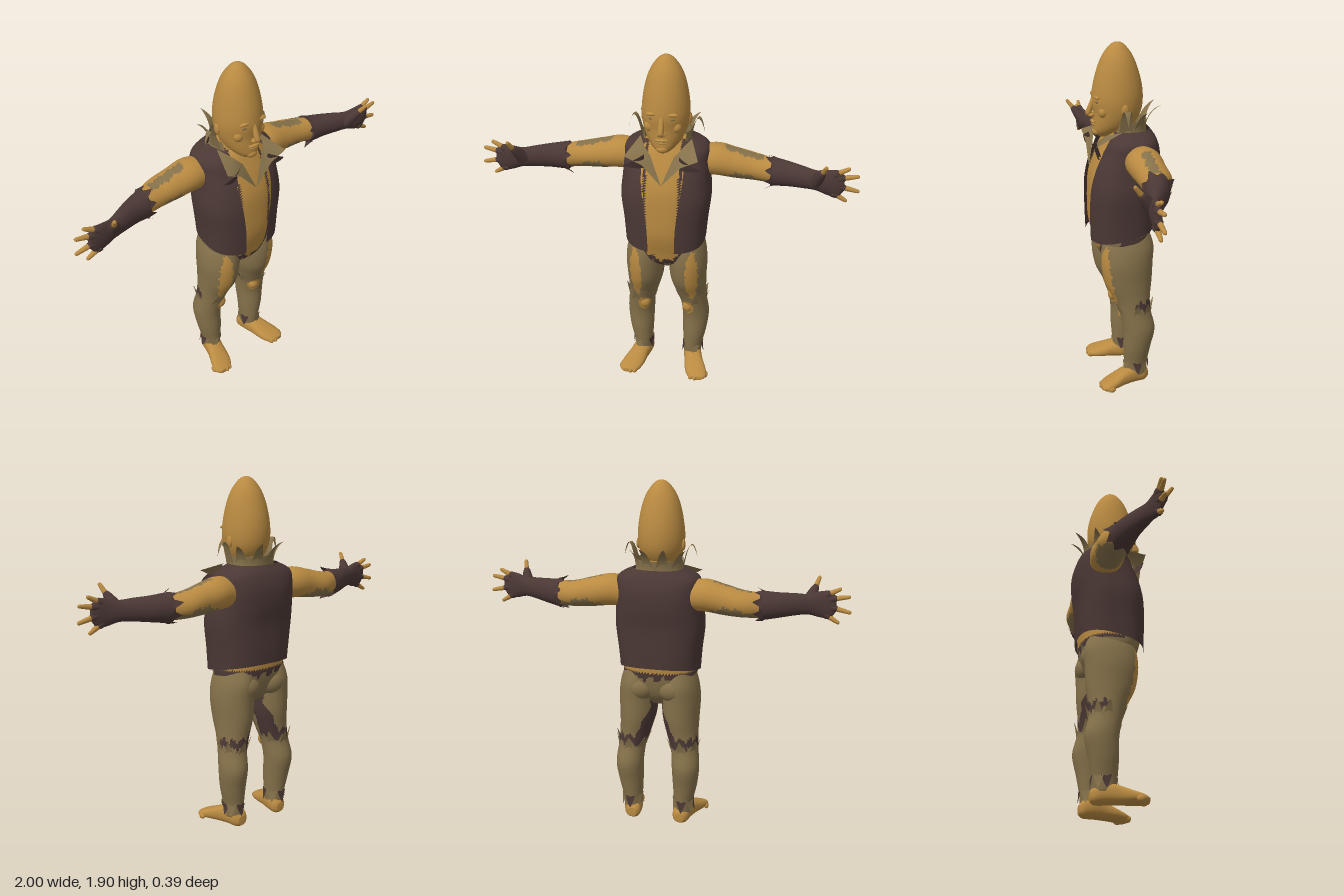
import * as THREE from 'three';

const GOLD = 0, OLIVE = 1, BROWN = 2;

// Uniform Catmull-Rom value through column c of a table of sections
function sample(rows, s, c) {
  const n = rows.length - 1, k = Math.min(Math.floor(s), n - 1), t = s - k;
  const [p0, p1, p2, p3] = [-1, 0, 1, 2].map(o => rows[Math.max(0, Math.min(n, k + o))][c] || 0);
  return p1 + 0.5 * t * (p2 - p0 + t * (2 * p0 - 5 * p1 + 4 * p2 - p3 + t * (3 * (p1 - p2) + p3 - p0)));
}

// Skin over sections [along, centreU, centreV, radiusU, radiusV, gapAngle]
// axis y: U = x, V = z    axis x: U = z, V = y    axis z: U = y, V = x
function loft(rows, { axis = 'y', N = 48, steps = 8, power = 1, open = false, paint = () => GOLD, warp } = {}) {
  const M = (rows.length - 1) * steps, P = [], cols = open ? N + 1 : N;
  const place = (t, u, v) => axis === 'y' ? [u, t, v] : axis === 'x' ? [t, v, u] : [v, u, t];
  const soft = v => Math.sign(v) * Math.abs(v) ** power;
  const add = p => { const v = new THREE.Vector3(...p); if (warp) warp(v); return P.push(v) - 1; };
  for (let i = 0; i <= M; i++) {
    const [t, cu, cv, a, b, g] = [0, 1, 2, 3, 4, 5].map(c => sample(rows, i / steps, c));
    for (let j = 0; j < cols; j++) {
      const th = g + (2 * Math.PI - 2 * g) * j / N;
      add(place(t, cu + a * soft(Math.sin(th)), cv + b * soft(Math.cos(th))));
    }
  }
  const lists = [[], [], []];
  const face = (a, b, c) => {
    const m = P[a].clone().add(P[b]).add(P[c]).divideScalar(3);
    lists[paint(m)].push(a, b, c);
  };
  for (let i = 0; i < M; i++) for (let j = 0; j < N; j++) {
    const k = open ? j + 1 : (j + 1) % N;
    const a = i * cols + j, b = i * cols + k, c = b + cols, d = a + cols;
    face(a, b, c); face(a, c, d);
  }
  if (!open) {
    const r0 = rows[0], r1 = rows[rows.length - 1];
    const lo = add(place(r0[0], r0[1], r0[2])), hi = add(place(r1[0], r1[1], r1[2]));
    for (let j = 0; j < N; j++) {
      const k = (j + 1) % N;
      face(lo, k, j); face(hi, M * cols + j, M * cols + k);
    }
  }
  const geo = new THREE.BufferGeometry().setFromPoints(P);
  geo.setIndex(lists.flat());
  let start = 0;
  lists.forEach((l, m) => { if (l.length) geo.addGroup(start, l.length, m); start += l.length; });
  geo.computeVertexNormals();
  return geo;
}

// Pointed strip along a bent line
function leaf(base, mid, tip, side, width) {
  const V = a => new THREE.Vector3(...a);
  const curve = new THREE.QuadraticBezierCurve3(V(base), V(mid), V(tip)), s = V(side).normalize();
  const pts = [], idx = [], n = 8;
  for (let i = 0; i <= n; i++) {
    const p = curve.getPoint(i / n), w = width * (1 - i / n) ** 0.8;
    pts.push(p.clone().addScaledVector(s, -w), p.clone().addScaledVector(s, w));
    if (i < n) idx.push(2 * i, 2 * i + 1, 2 * i + 3, 2 * i, 2 * i + 3, 2 * i + 2);
  }
  const g = new THREE.BufferGeometry().setFromPoints(pts).setIndex(idx);
  g.computeVertexNormals();
  return g;
}

// Round-tipped tapering rod
function rod(from, to, r0, r1) {
  const a = new THREE.Vector3(...from), d = new THREE.Vector3(...to).sub(a), L = d.length();
  const prof = [[r0, 0], [(r0 + r1) / 2, L / 2], [r1, L - r1], [r1 * 0.7, L - r1 * 0.3], [0, L]].map(p => new THREE.Vector2(...p));
  const g = new THREE.LatheGeometry(prof, 12);
  g.applyQuaternion(new THREE.Quaternion().setFromUnitVectors(new THREE.Vector3(0, 1, 0), d.normalize()));
  return g.translate(a.x, a.y, a.z);
}

function blob(x, y, z, rx, ry, rz) {
  return new THREE.SphereGeometry(1, 20, 14).scale(rx, ry, rz).translate(x, y, z);
}

function mirrored(geo) {
  const g = geo.clone().scale(-1, 1, 1), ix = g.index.array;
  for (let i = 0; i < ix.length; i += 3) [ix[i], ix[i + 1]] = [ix[i + 1], ix[i]];
  return g;
}

export function createModel() {
  const root = new THREE.Group();
  const mats = [['gold skin', 0xb98a41], ['olive hide', 0x85714a], ['dark brown leather', 0x4b3835]].map(([name, color]) => {
    const m = new THREE.MeshStandardMaterial({ color, side: THREE.DoubleSide });
    m.name = name;
    return m;
  });
  const add = (name, geo, mat = mats) => {
    const m = new THREE.Mesh(geo, typeof mat === 'number' ? mats[mat] : mat);
    m.name = name;
    root.add(m);
  };
  const pair = (name, geo, mat) => { add('left ' + name, geo, mat); add('right ' + name, mirrored(geo), mat); };
  const jag = v => 0.012 * Math.sin(v * 90) + 0.008 * Math.sin(v * 211);

  // Torso, with a gold belly over an olive pelvis and ragged brown hem
  add('torso', loft([
    [0.70, 0, -0.01, 0.05, 0.06], [0.76, 0, 0, 0.15, 0.12], [0.84, 0, 0, 0.20, 0.147], [0.95, 0, 0.008, 0.20, 0.167],
    [1.08, 0, 0.008, 0.21, 0.17], [1.2, 0, 0, 0.215, 0.17], [1.3, 0, -0.02, 0.2, 0.16], [1.38, 0, -0.025, 0.17, 0.13], [1.45, 0, -0.02, 0.09, 0.09]], {
    N: 80, power: 0.85, paint: p => {
      const ax = Math.abs(p.x), low = 0.775 + ax * 0.5 + jag(p.x);
      if (p.z > 0 && ax < 0.085 && p.y > low) return GOLD;
      if (p.z > 0 && ax < 0.1 && p.y > low - 0.04) return BROWN;
      if (p.y > 0.9) return GOLD;
      return p.z < 0.05 && p.y > 0.865 + jag(p.x) ? BROWN : OLIVE;
    } }));

  // Sleeveless vest, open down the front
  add('vest', loft([
    [0.895, 0, 0.008, 0.217, 0.178, 0.24], [1.0, 0, 0.008, 0.225, 0.182, 0.25], [1.14, 0, 0.005, 0.24, 0.184, 0.3],
    [1.25, 0, -0.012, 0.232, 0.182, 0.38], [1.34, 0, -0.03, 0.226, 0.165, 0.42], [1.41, 0, -0.035, 0.215, 0.14, 0.5], [1.455, 0, -0.04, 0.13, 0.105, 0.6]], {
    open: true, N: 72, power: 0.78, paint: () => BROWN, warp: v => { if (v.y < 1) v.y -= 0.2 * v.z * (1 - v.y) / 0.105; } }));

  // Tall egg-shaped head and neck
  add('neck', loft([[1.36, 0, -0.01, 0.1, 0.09], [1.44, 0, 0, 0.085, 0.085], [1.52, 0, 0.01, 0.085, 0.085]]), GOLD);
  add('head', loft([
    [1.415, 0, 0.085, 0.03, 0.035], [1.44, 0, 0.065, 0.062, 0.08], [1.48, 0, 0.04, 0.093, 0.108], [1.54, 0, 0.022, 0.116, 0.126],
    [1.61, 0, 0.02, 0.124, 0.135], [1.69, 0, 0.018, 0.117, 0.126], [1.77, 0, 0.018, 0.101, 0.104], [1.83, 0, 0.018, 0.078, 0.079],
    [1.875, 0, 0.018, 0.047, 0.047], [1.895, 0, 0.018, 0.022, 0.022], [1.9, 0, 0.018, 0.003, 0.003]]), GOLD);
  add('nose', rod([0, 1.615, 0.145], [0, 1.525, 0.178], 0.012, 0.017), GOLD);
  add('nostrils', blob(0, 1.53, 0.158, 0.024, 0.012, 0.018), GOLD);
  add('upper lip', blob(0, 1.496, 0.147, 0.034, 0.007, 0.014), GOLD);
  add('mouth line', blob(0, 1.489, 0.147, 0.033, 0.003, 0.011), OLIVE);
  add('lower lip', blob(0, 1.481, 0.143, 0.028, 0.008, 0.014), GOLD);
  add('chin', blob(0, 1.442, 0.125, 0.034, 0.024, 0.028), GOLD);
  pair('brow', blob(0.048, 1.63, 0.137, 0.034, 0.01, 0.014).rotateZ(0), GOLD);
  pair('eye', blob(0.047, 1.607, 0.137, 0.021, 0.008, 0.008), OLIVE);
  pair('cheek', blob(0.065, 1.555, 0.108, 0.03, 0.03, 0.025), GOLD);
  pair('ear', blob(0.122, 1.57, 0.005, 0.01, 0.03, 0.02), GOLD);

  // Leafy neck collar
  add('collar band', loft([[1.4, 0, -0.02, 0.15, 0.12, 0.9], [1.45, 0, -0.02, 0.128, 0.112, 0.95], [1.5, 0, -0.02, 0.126, 0.116, 1.1]],
    { open: true, paint: () => OLIVE }));
  [[18, 0.21, 1.575, 0.19], [58, 0.19, 1.56, 0.2], [95, 0.2, 1.5, 0.165]].forEach(([deg, rTip, yTip, rMid], i) => {
    const a = deg * Math.PI / 180, s = Math.sin(a), c = -Math.cos(a);
    const at = (r, y) => [s * r, y, c * r * 0.95 - 0.01];
    pair('collar leaf ' + (i + 1), leaf(at(0.122, 1.45), at(i === 2 ? rMid : 0.135, i === 2 ? 1.67 : 1.54), at(rTip, yTip), [-c, 0, s], 0.036), OLIVE);
  });

  // Folded lapels meeting in a V, over a brown underleaf
  const lapel = new THREE.BufferGeometry().setFromPoints([
    [0.135, 1.46, 0.02], [0.19, 1.405, 0.175], [0.1, 1.36, 0.168], [0, 1.25, 0.172], [0.06, 1.40, 0.135], [0.1, 1.44, 0.1]
  ].map(p => new THREE.Vector3(...p))).setIndex([0, 5, 1, 1, 5, 2, 5, 4, 2, 2, 4, 3]);
  lapel.computeVertexNormals();
  pair('lapel', lapel, OLIVE);
  pair('lapel underleaf', leaf([0.09, 1.37, 0.14], [0.14, 1.36, 0.18], [0.2, 1.345, 0.155], [0, 1, 0.3], 0.045), BROWN);

  // Arms with olive patches
  pair('arm', loft([
    [0.12, -0.05, 1.31, 0.07, 0.075], [0.25, -0.06, 1.325, 0.092, 0.085], [0.36, -0.065, 1.308, 0.085, 0.08],
    [0.46, -0.068, 1.293, 0.08, 0.07], [0.56, -0.045, 1.285, 0.06, 0.065]], {
    axis: 'x', paint: p => {
      const under = p.x > 0.27 && p.y < 1.262 + jag(p.x) * 0.6 + 0.02 * Math.sin(p.x * 20);
      const top = p.x > 0.3 && p.x < 0.5 && p.y > 1.3 && Math.abs(p.z + 0.055 + jag(p.x) * 0.4) < 0.026;
      return under || top ? OLIVE : GOLD;
    } }));

  // Long gloves, ragged cuff, fingers
  pair('glove', loft([
    [0.545, -0.045, 1.284, 0.069, 0.078], [0.63, -0.025, 1.286, 0.058, 0.067], [0.71, 0.005, 1.288, 0.046, 0.059], [0.78, 0.03, 1.287, 0.034, 0.054],
    [0.84, 0.045, 1.287, 0.027, 0.069], [0.89, 0.05, 1.286, 0.021, 0.072], [0.92, 0.05, 1.29, 0.012, 0.04]], { axis: 'x' }), BROWN);
  for (let i = 0; i < 8; i++) {
    const a = i * Math.PI / 4 + 0.4, s = Math.sin(a), c = Math.cos(a), q = i % 3 ? 1 : 1.25;
    pair('cuff point ' + (i + 1), leaf([0.56, -0.045 + s * 0.066, 1.284 + c * 0.076].map((v, k, A) => k === 1 ? A[2] : k === 2 ? A[1] : v),
      [0.54, 1.284 + c * 0.08, -0.045 + s * 0.072], [0.515, 1.284 + c * 0.08 * q, -0.05 + s * 0.078 * q], [0, -s, c], 0.028), BROWN);
  }
  [[0.865, 1.335, 0.945, 1.375], [0.885, 1.315, 0.993, 1.335], [0.885, 1.275, 1.0, 1.25], [0.865, 1.235, 0.942, 1.19]].forEach(([x0, y0, x1, y1], i) => {
    const mx = x0 + (x1 - x0) * 0.45, my = y0 + (y1 - y0) * 0.45;
    pair('finger ' + (i + 1), rod([x0, y0, 0.05], [x1, y1, 0.046], 0.016, 0.01), GOLD);
    pair('finger sleeve ' + (i + 1), rod([x0, y0, 0.05], [mx, my, 0.048], 0.022, 0.016), BROWN);
  });
  pair('thumb', rod([0.79, 1.31, 0.06], [0.825, 1.415, 0.14], 0.018, 0.01), GOLD);
  pair('thumb sleeve', rod([0.775, 1.285, 0.04], [0.812, 1.375, 0.11], 0.037, 0.02), BROWN);

  // Legs: olive with gold thigh stripe and kneecap, brown behind the knee
  pair('leg', loft([
    [0.06, 0.147, -0.05, 0.05, 0.06], [0.13, 0.148, -0.05, 0.054, 0.066], [0.23, 0.156, -0.055, 0.068, 0.077], [0.34, 0.16, -0.065, 0.076, 0.088],
    [0.44, 0.15, -0.045, 0.076, 0.088], [0.52, 0.135, -0.03, 0.086, 0.1], [0.62, 0.122, -0.012, 0.1, 0.13], [0.73, 0.12, -0.005, 0.106, 0.142],
    [0.82, 0.115, -0.01, 0.1, 0.142], [0.9, 0.105, -0.01, 0.085, 0.12]], {
    N: 64, paint: p => {
      const sx = p.x - 0.155 + jag(p.y) * 0.3;
      if (p.z > 0 && p.y > 0.5 && p.y < 0.84 && Math.abs(sx) < 0.034 * Math.sqrt(Math.sin((p.y - 0.5) / 0.34 * Math.PI))) return GOLD;
      if (p.z > 0 && Math.hypot(p.x - 0.125, (p.y - 0.42) * 0.75) < 0.035) return GOLD;
      const hem = 0.47 + jag(p.x + p.z);
      if (p.z < -0.03 && p.y > hem && p.y < hem + 0.045 + Math.max(0, 0.12 - p.x) * 1.6) return BROWN;
      return p.y > 0.6 && p.x < 0.035 && p.z < 0 ? BROWN : OLIVE;
    } }));
  pair('kneecap', blob(0.125, 0.425, 0.018, 0.032, 0.038, 0.028), GOLD);
  pair('buttock', blob(0.088, 0.8, -0.085, 0.082, 0.075, 0.075), OLIVE);

  // Ragged points at knees and ankles
  [20, 90, 125, 180, 235, 290].forEach((deg, i) => {
    const a = deg * Math.PI / 180, s = Math.sin(a), c = Math.cos(a);
    pair('knee point ' + (i + 1), leaf([0.148 + s * 0.073, 0.44, -0.045 + c * 0.085], [0.145 + s * 0.083, 0.48, -0.04 + c * 0.098],
      [0.142 + s * 0.1, 0.515, -0.038 + c * 0.112], [c, 0, -s], 0.026), OLIVE);
    pair('ankle point ' + (i + 1), leaf([0.148 + s * 0.054, 0.14, -0.05 + c * 0.066], [0.148 + s * 0.056, 0.1, -0.05 + c * 0.068],
      [0.148 + s * 0.064, 0.07, -0.05 + c * 0.075], [c, 0, -s], 0.028), i % 2 ? BROWN : OLIVE);
  });

  // Splayed bare feet with flat soles
  pair('foot', loft([
    [-0.12, 0.04, 0.138, 0.025, 0.025], [-0.095, 0.047, 0.14, 0.047, 0.045], [-0.04, 0.055, 0.148, 0.055, 0.052], [0.02, 0.047, 0.164, 0.047, 0.054],
    [0.08, 0.034, 0.182, 0.034, 0.062], [0.13, 0.024, 0.197, 0.024, 0.058], [0.16, 0.02, 0.2, 0.012, 0.035]], {
    axis: 'z', power: 0.85, warp: v => { v.y = Math.max(0, v.y); } }), GOLD);
  [[0.165, 0.155], [0.19, 0.16], [0.212, 0.152], [0.232, 0.14], [0.248, 0.122]].forEach(([x, z], i) =>
    pair('toe ' + (i + 1), blob(x, 0.017, z - 0.012, 0.013, 0.017, 0.022), GOLD));

  return root;
}
